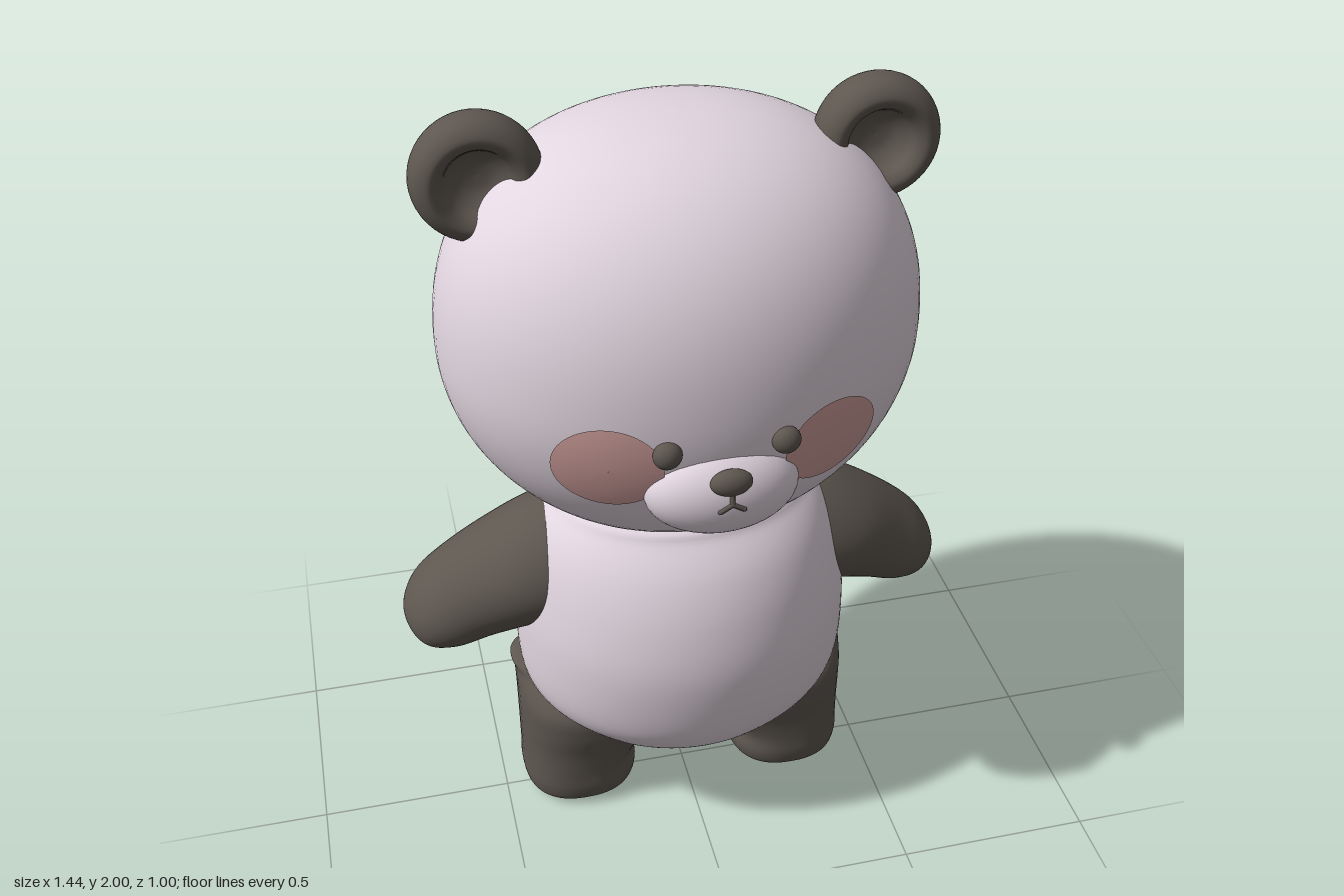
import * as THREE from 'three';

const mat = (name, color) => {
  const m = new THREE.MeshStandardMaterial({ color });
  m.name = name;
  return m;
};
const V = (x, y, z) => new THREE.Vector3(x, y, z);

// Smooth stations [cx, cy, cz, halfWidth, halfDepth] into many rings
function smooth(stations, n) {
  const a = new THREE.CatmullRomCurve3(stations.map(s => V(s[0], s[1], s[2])), false, 'catmullrom', 0.5);
  const b = new THREE.CatmullRomCurve3(stations.map(s => V(s[3], s[4], 0)), false, 'catmullrom', 0.5);
  return Array.from({ length: n + 1 }, (_, i) => {
    const p = a.getPoint(i / n), r = b.getPoint(i / n);
    return [p.x, p.y, p.z, Math.max(r.x, 0), Math.max(r.y, 0)];
  });
}

// Skin superelliptic rings spanned by directions u and v (rings advance along v x u)
function loft(rings, { u = V(1, 0, 0), v = V(0, 0, 1), p = 2, segs = 64 } = {}) {
  const pos = [], idx = [];
  const f = c => Math.sign(c) * Math.pow(Math.abs(c), 2 / p);
  rings.forEach(([x, y, z, w, d], i) => {
    for (let j = 0; j < segs; j++) {
      const t = j / segs * Math.PI * 2;
      const q = V(x, y, z).addScaledVector(u, w * f(Math.cos(t))).addScaledVector(v, d * f(Math.sin(t)));
      pos.push(q.x, q.y, q.z);
      if (i === rings.length - 1) continue;
      const a = i * segs + j, b = i * segs + (j + 1) % segs;
      idx.push(a, a + segs, b, b, a + segs, b + segs);
    }
  });
  const g = new THREE.BufferGeometry();
  g.setAttribute('position', new THREE.Float32BufferAttribute(pos, 3));
  g.setIndex(idx);
  g.computeVertexNormals();
  return g;
}

// Mirrored copy across x = 0 with corrected winding
function mirror(geo) {
  const g = geo.clone().scale(-1, 1, 1);
  const ix = g.index.array;
  for (let i = 0; i < ix.length; i += 3) [ix[i], ix[i + 1]] = [ix[i + 1], ix[i]];
  g.computeVertexNormals();
  return g;
}

// Head profile, shared with the cheeks that lie on it
const HEAD = { y: 1.43, z: -0.03, rx: 0.575, ry: 0.527, rz: 0.472 };
const headScale = t => {
  const p = t > 0 ? 2.3 : 2;
  return Math.pow(Math.max(0, 1 - Math.pow(Math.abs(t), p)), 1 / p);
};
const headZ = (x, y) => {
  const s = headScale((y - HEAD.y) / HEAD.ry);
  return HEAD.z + HEAD.rz * Math.sqrt(Math.max(0, s * s - (x / HEAD.rx) ** 2));
};

export function createModel() {
  const root = new THREE.Group();
  root.name = 'bear';
  const pale = mat('pale fur', 0xe2d6e0);
  const dark = mat('dark fur', 0x5e5750);
  const blush = mat('blush', 0xcf9f9c);
  const add = (name, geo, m, parent = root) => {
    const mesh = new THREE.Mesh(geo, m);
    mesh.name = name;
    parent.add(mesh);
    return mesh;
  };
  const ball = (name, m, [x, y, z], [rx, ry, rz], parent = root) => {
    const b = add(name, new THREE.SphereGeometry(1, 40, 28).scale(rx, ry, rz), m, parent);
    b.position.set(x, y, z);
    return b;
  };

  // Head
  const headRings = [];
  for (let i = 0; i <= 56; i++) {
    const t = Math.sin((i / 56 - 0.5) * Math.PI), s = headScale(t);
    headRings.push([0, HEAD.y + t * HEAD.ry, HEAD.z, HEAD.rx * s, HEAD.rz * s]);
  }
  add('head', loft(headRings, { segs: 80 }), pale);

  // Body, with a soft groove down the back
  const body = loft(smooth([
    [0, 0.18, -0.03, 0, 0], [0, 0.2, -0.03, 0.16, 0.15], [0, 0.25, -0.03, 0.27, 0.24],
    [0, 0.32, -0.028, 0.36, 0.315], [0, 0.42, -0.025, 0.425, 0.365], [0, 0.6, -0.025, 0.434, 0.39],
    [0, 0.75, -0.025, 0.418, 0.37], [0, 0.87, -0.025, 0.39, 0.325], [0, 0.95, -0.028, 0.345, 0.27],
    [0, 0.99, -0.03, 0.28, 0.225], [0, 1.02, -0.03, 0, 0],
  ], 70), { segs: 120 });
  const bp = body.attributes.position;
  for (let i = 0; i < bp.count; i++) {
    const x = bp.getX(i), y = bp.getY(i), z = bp.getZ(i);
    if (z > -0.1 || y < 0.35) continue;
    const k = Math.min(1, (y - 0.35) / 0.15);
    bp.setZ(i, z + 0.014 * k * Math.exp(-((x / 0.028) ** 2)));
  }
  body.computeVertexNormals();
  add('body', body, pale);
  ball('tail', pale, [0, 0.31, -0.358], [0.073, 0.075, 0.073]);
  ball('crotch', dark, [0, 0.222, -0.03], [0.22, 0.066, 0.12]);

  // Arms
  const arm = loft(smooth([
    [0.14, 0.84, -0.03, 0.16, 0.14], [0.27, 0.785, -0.035, 0.185, 0.17], [0.42, 0.735, -0.045, 0.152, 0.17],
    [0.55, 0.66, -0.075, 0.128, 0.148], [0.63, 0.605, -0.088, 0.106, 0.132],
    [0.685, 0.565, -0.09, 0.064, 0.085], [0.707, 0.55, -0.09, 0, 0],
  ], 48), { u: V(0.55, 0.835, 0), v: V(0, 0, -1), segs: 48 });
  add('leftArm', arm, dark);
  add('rightArm', mirror(arm), dark);

  // Legs
  const leg = loft(smooth([
    [0.293, 0, -0.025, 0, 0], [0.293, 0.002, -0.025, 0.1, 0.1], [0.293, 0.018, -0.025, 0.142, 0.143],
    [0.292, 0.06, -0.025, 0.156, 0.157], [0.294, 0.12, -0.025, 0.153, 0.158], [0.275, 0.19, -0.025, 0.172, 0.163],
    [0.255, 0.27, -0.025, 0.192, 0.178], [0.25, 0.34, -0.03, 0.197, 0.18],
    [0.25, 0.4, -0.05, 0.197, 0.14], [0.25, 0.435, -0.06, 0.19, 0.09], [0.25, 0.44, -0.06, 0, 0],
  ], 60), { p: 2.4, segs: 56 });
  add('leftLeg', leg, dark);
  add('rightLeg', mirror(leg), dark);

  // Dished ears
  const earProfile = new THREE.SplineCurve([
    [0, -0.12], [0.07, -0.11], [0.122, -0.075], [0.147, -0.02], [0.139, 0.03], [0.11, 0.054],
    [0.085, 0.042], [0.068, 0.012], [0.038, -0.01], [0, -0.015],
  ].map(([x, y]) => new THREE.Vector2(x, y))).getPoints(40);
  earProfile.forEach(p => { p.x = Math.max(0, p.x); });
  const ear = new THREE.LatheGeometry(earProfile, 48).rotateX(Math.PI / 2);

  // Paired features of the head
  for (const [side, s] of [['left', 1], ['right', -1]]) {
    add(side + 'Ear', ear, dark).position.set(s * 0.452, 1.855, 0);
    ball(side + 'Eye', dark, [s * 0.133, 1.37, headZ(0.133, 1.37) + 0.006], [0.033, 0.033, 0.026]);
    const cheek = new THREE.RingGeometry(0.0005, 0.118, 48, 8).translate(s * 0.255, 1.314, 0);
    const cp = cheek.attributes.position;
    for (let i = 0; i < cp.count; i++) cp.setZ(i, headZ(cp.getX(i), cp.getY(i)) + 0.005);
    cheek.computeVertexNormals();
    add(side + 'Cheek', cheek, blush);
  }

  // Muzzle, nose and mouth
  const R = [0.178, 0.119, 0.1];
  const snout = new THREE.Group();
  snout.name = 'snout';
  snout.position.set(0, 1.238, 0.385);
  snout.rotation.x = 0.2;
  root.add(snout);
  ball('muzzle', pale, [0, 0, 0], R, snout);
  ball('nose', dark, [0, 1.305, 0.472], [0.048, 0.032, 0.026]);
  const onMuzzle = (x, y) => V(x, y, R[2] * Math.sqrt(1 - (x / R[0]) ** 2 - (y / R[1]) ** 2));
  const stroke = (name, a, b) => {
    add(name, new THREE.TubeGeometry(new THREE.LineCurve3(a, b), 4, 0.006, 8), dark, snout);
    ball(name + 'End', dark, b.toArray(), [0.006, 0.006, 0.006], snout);
  };
  stroke('mouthStem', onMuzzle(0, 0.06), onMuzzle(0, 0.036));
  stroke('mouthLeft', onMuzzle(0, 0.036), onMuzzle(0.027, 0.019));
  stroke('mouthRight', onMuzzle(0, 0.036), onMuzzle(-0.027, 0.019));

  return root;
}
